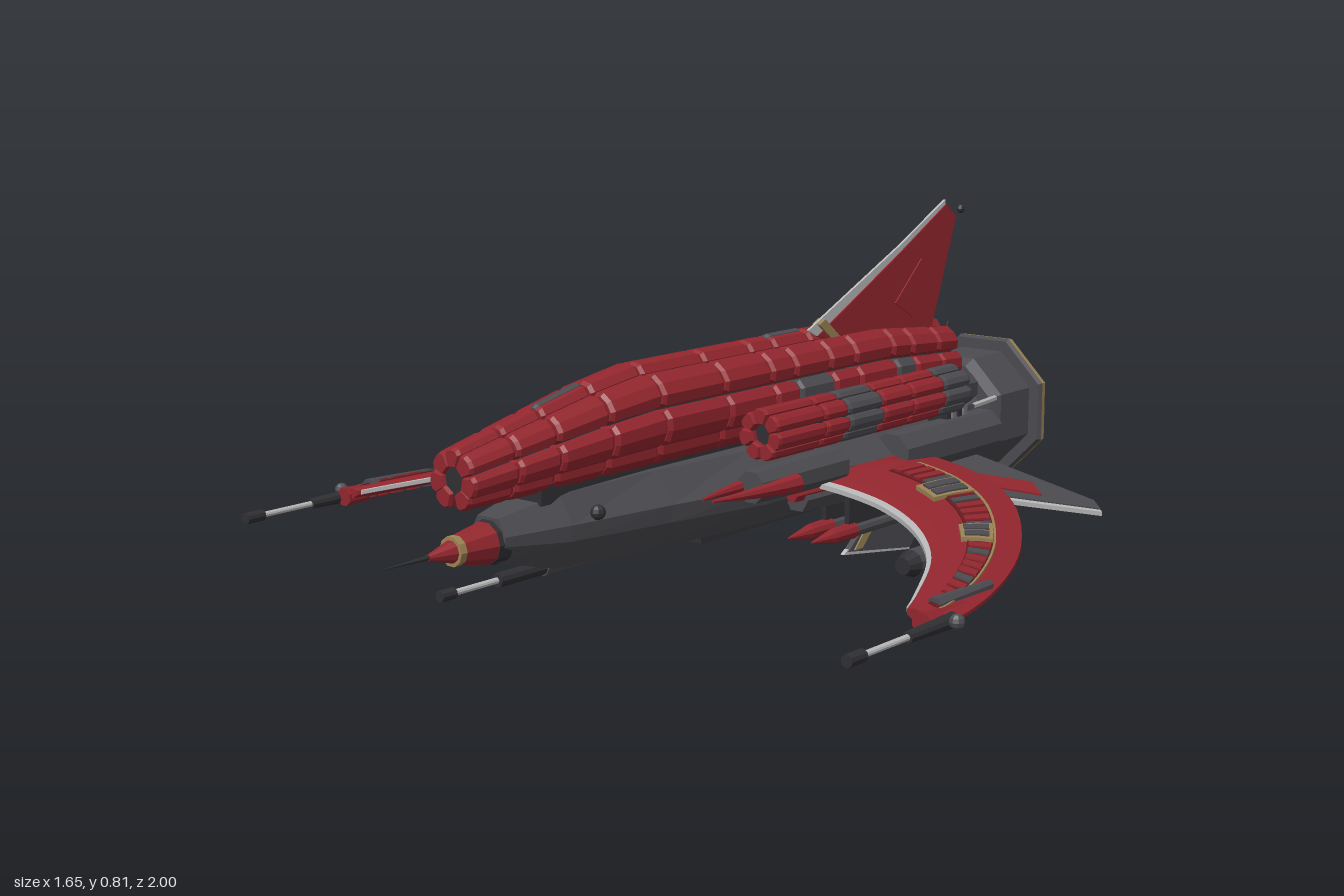
import * as THREE from 'three';

const mat = (c, side = THREE.FrontSide) => new THREE.MeshStandardMaterial({ color: c, flatShading: true, side });
const RED = mat(0x93262e), DEEP = mat(0x641a20), DARK = mat(0x4b4b50), BLACK = mat(0x303034), LIGHT = mat(0xb9b9b9);
const GREY = mat(0x77777b, THREE.DoubleSide), GOLD = mat(0x9c8354), TAN = mat(0xc9a580, THREE.DoubleSide), RUST = mat(0xa05f3c, THREE.DoubleSide);
const { lerp } = THREE.MathUtils;

const add = (parent, name, geo, material) => parent.add(Object.assign(new THREE.Mesh(geo, material), { name }));
const box = (parent, name, m, x, y, z, w, h, d) => add(parent, name, new THREE.BoxGeometry(w, h, d).translate(x, y, z), m);
const ball = (parent, name, m, x, y, z, r) => add(parent, name, new THREE.SphereGeometry(r, 8, 6).translate(x, y, z), m);
// Cylinder lying along z, back radius r0 at z0, front radius r1 at z1
function tube(parent, name, material, x, y, z0, z1, r0, r1 = r0, n = 10) {
  const g = new THREE.CylinderGeometry(r1, r0, z1 - z0, n, 1, false, Math.PI / n);
  add(parent, name, g.rotateX(Math.PI / 2).translate(x, y, (z0 + z1) / 2), material);
}
function rod(parent, name, material, a, b, r) {
  const path = new THREE.LineCurve3(new THREE.Vector3(...a), new THREE.Vector3(...b));
  add(parent, name, new THREE.TubeGeometry(path, 1, r, 6), material);
}
// Upright plate from [z, y] outline points
function plate(parent, name, material, pts, x, t) {
  const shape = new THREE.Shape(pts.map(([z, y]) => new THREE.Vector2(-z, y)));
  const g = new THREE.ExtrudeGeometry(shape, { depth: t, bevelEnabled: false });
  add(parent, name, g.translate(0, 0, -t / 2).rotateY(Math.PI / 2).translate(x, 0, 0), material);
}
// Move every vertex by a rule
function warp(geo, rule) {
  const p = geo.attributes.position, v = new THREE.Vector3();
  for (let i = 0; i < p.count; i++) {
    rule(v.fromBufferAttribute(p, i));
    p.setXYZ(i, v.x, v.y, v.z);
  }
  geo.computeVertexNormals();
  return geo;
}
// One bevelled armour petal: a ring sector of unit radius scaled along its length
function petal(parent, material, angle, half, z0, z1, radius, cx, cy) {
  const pts = [[0.5, -half], [0.9, -half], [1, -half * 0.6], [1.02, 0], [1, half * 0.6], [0.9, half], [0.5, half]];
  const shape = new THREE.Shape(pts.map(([r, a]) =>
    new THREE.Vector2(r * 0.95, 0).rotateAround(new THREE.Vector2(), (angle + a) * Math.PI / 180)));
  const g = new THREE.ExtrudeGeometry(shape, { depth: z1 - z0 - 0.02, bevelThickness: 0.008, bevelSize: 0.05, bevelSegments: 1 });
  g.translate(0, 0, z0 + 0.01);
  warp(g, v => { const r = radius(v.z); v.x = cx + v.x * r; v.y = cy(v.z) + v.y * r; });
  add(parent, 'armourPetal', g, material);
}

// Faceted hull lofted from eight-sided sections: [z, half width, bottom, top]
function hullGeometry() {
  const rows = [[0.74, 0.045, 0.25, 0.335], [0.6, 0.08, 0.213, 0.36], [0.35, 0.112, 0.2, 0.365], [0.1, 0.155, 0.195, 0.365],
    [-0.3, 0.175, 0.195, 0.365], [-0.55, 0.15, 0.2, 0.365], [-0.72, 0.09, 0.22, 0.37]];
  const ring = [[0.6, 1], [1, 0.62], [0.95, 0.4], [0.4, 0], [-0.4, 0], [-0.95, 0.4], [-1, 0.62], [-0.6, 1]];
  const pos = [], idx = [], n = ring.length, end = (rows.length - 1) * n;
  for (const [z, w, b, t] of rows) for (const [u, v] of ring) pos.push(u * w, lerp(b, t, v), z);
  for (let r = 0; r < end; r += n) for (let i = 0; i < n; i++) {
    const a = r + i, b = r + (i + 1) % n;
    idx.push(a, b, a + n, b, b + n, a + n);
  }
  for (let i = 1; i < n - 1; i++) idx.push(0, i + 1, i, end, end + i, end + i + 1);
  const g = new THREE.BufferGeometry();
  g.setAttribute('position', new THREE.Float32BufferAttribute(pos, 3)).setIndex(idx);
  g.computeVertexNormals();
  return g;
}

// Crescent wing: t runs root to tip, s runs from the outer arc to the inner arc
const arc = pts => new THREE.SplineCurve(pts.map(p => new THREE.Vector2(...p)));
const outer = arc([[0.13, -0.41], [0.23, -0.4], [0.38, -0.35], [0.525, -0.235], [0.665, -0.035], [0.75, 0.17], [0.79, 0.36], [0.77, 0.43]]);
const inner = arc([[0.13, -0.03], [0.23, -0.025], [0.35, 0], [0.46, 0.055], [0.55, 0.13], [0.62, 0.22], [0.69, 0.36], [0.72, 0.43]]);
function wingSlab(parent, name, material, t0, t1, s0, s1, lift, nt = 1, ns = 1) {
  add(parent, name, warp(new THREE.BoxGeometry(1, 1, 1, nt, 1, ns), v => {
    const t = lerp(t0, t1, v.x + 0.5), s = lerp(s0, s1, v.z + 0.5);
    const p = outer.getPoint(t).lerp(inner.getPoint(t), s);
    const thick = 0.034 * (1 - 0.3 * t) * (0.25 + 0.75 * Math.sin(Math.PI * Math.min(1, s)));
    v.set(p.x, 0.288 - 0.135 * p.x * p.x + v.y * thick + Math.sign(v.y) * lift, p.y);
  }), material);
}
function buildWing(g) {
  wingSlab(g, 'wing', RED, 0, 1, 0, 0.95, 0, 36, 8);
  wingSlab(g, 'wingEdgeTrim', LIGHT, 0.08, 0.97, 0.95, 1.01, 0.001, 36);
  wingSlab(g, 'wingGoldLine', GOLD, 0.16, 0.9, 0.26, 0.285, 0.004, 30);
  wingSlab(g, 'wingChannel', DEEP, 0.16, 0.9, 0.285, 0.56, 0.002, 30, 2);
  for (let i = 0; i < 24; i++)
    wingSlab(g, 'wingRib', i % 4 === 3 ? DARK : RED, 0.17 + i * 0.03, 0.189 + i * 0.03, 0.3, 0.54, 0.006);
  for (const [t, w, s] of [[0.285, 0.08, 0.66], [0.515, 0.065, 0.62]]) {
    wingSlab(g, 'panelFrame', GOLD, t, t + w, 0.29, s, 0.009, 2, 2);
    for (const a of [t + 0.01, t + 0.005 + w / 2])
      wingSlab(g, 'panelGrille', DARK, a, a + w / 2 - 0.014, 0.33, s - 0.04, 0.012, 1, 2);
  }
  // Wing-tip gun
  tube(g, 'gunHousing', RED, 0.758, 0.205, 0.31, 0.437, 0.016, 0.021, 8);
  tube(g, 'gunBreech', DARK, 0.745, 0.22, 0.2, 0.38, 0.01, 0.017, 8);
  tube(g, 'gunCollar', BLACK, 0.78, 0.2, 0.37, 0.51, 0.015, 0.011);
  tube(g, 'gunBarrel', LIGHT, 0.78, 0.2, 0.5, 0.65, 0.006);
  tube(g, 'gunMuzzle', BLACK, 0.78, 0.2, 0.64, 0.685, 0.012);
  ball(g, 'tipKnob', DARK, 0.808, 0.208, 0.4, 0.015);
  // Hanging pod
  tube(g, 'underwingPod', DARK, 0.44, 0.17, -0.25, 0.01, 0.028, 0.028, 12);
  tube(g, 'podNose', BLACK, 0.44, 0.17, 0.01, 0.04, 0.028, 0.018, 12);
  tube(g, 'podTail', BLACK, 0.44, 0.17, -0.29, -0.25, 0.016, 0.026, 12);
  tube(g, 'podBand', GOLD, 0.44, 0.17, -0.235, -0.22, 0.03, 0.03, 12);
  box(g, 'podPylon', DARK, 0.44, 0.22, -0.11, 0.012, 0.06, 0.14);
}
// Lower tail fin, four corners in x and z, sloping downwards
function finSlab(g, name, material, c, t) {
  add(g, name, warp(new THREE.BoxGeometry(1, 1, 1), v => {
    const mix = k => lerp(lerp(c[0][k], c[1][k], v.x + 0.5), lerp(c[3][k], c[2][k], v.x + 0.5), v.z + 0.5);
    const x = mix(0), z = mix(1);
    v.set(x, 0.272 - 0.4 * x + v.y * t, z);
  }), material);
}
function buildSide(g) {
  buildWing(g);
  finSlab(g, 'lowerTailFin', DARK, [[0.08, -0.68], [0.365, -0.83], [0.395, -0.81], [0.17, -0.43]], 0.016);
  finSlab(g, 'lowerFinTrim', LIGHT, [[0.17, -0.43], [0.395, -0.81], [0.402, -0.805], [0.185, -0.43]], 0.01);
  finSlab(g, 'lowerFinPanel', RED, [[0.19, -0.62], [0.26, -0.73], [0.305, -0.7], [0.23, -0.59]], 0.024);
  // Side booster: segmented petals around a dark core
  tube(g, 'boosterCore', BLACK, 0.18, 0.42, -0.54, 0.15, 0.034, 0.034, 12);
  const cuts = [0.17, 0.01, -0.07, -0.19, -0.3, -0.42, -0.52];
  for (let i = 0; i < cuts.length - 1; i++) for (let k = 0; k < 7; k++)
    petal(g, i === 2 || i === 5 ? DARK : RED, 90 + k * 360 / 7, 20, cuts[i + 1], cuts[i], () => 0.053, 0.18, () => 0.42);
  tube(g, 'boosterTail', DARK, 0.18, 0.415, -0.57, -0.51, 0.034, 0.046, 8);
  // Rear nacelle and hull fittings
  tube(g, 'rearNacelle', DARK, 0.168, 0.3, -0.67, -0.3, 0.05, 0.05, 8);
  tube(g, 'nacelleNozzle', TAN, 0.168, 0.295, -0.69, -0.67, 0.026, 0.022, 12);
  for (let i = 0; i < 4; i++) box(g, 'rearGrille', i % 2 ? GREY : BLACK, 0.14, 0.355, -0.52 - i * 0.022, 0.06, 0.035, 0.014);
  rod(g, 'engineStrut', LIGHT, [0.165, 0.36, -0.62], [0.12, 0.35, -0.79], 0.007);
  tube(g, 'wingRootFairing', RED, 0.17, 0.275, -0.4, 0.05, 0.035, 0.015, 6);
  tube(g, 'wingRootBlock', DARK, 0.16, 0.262, -0.4, 0.02, 0.045, 0.03, 6);
  // Pincer prongs in front of the wing root
  tube(g, 'prongMount', DARK, 0.168, 0.315, -0.1, 0.18, 0.04, 0.034, 8);
  for (const [x, bend] of [[0.135, 0.02], [0.205, -0.025]]) {
    const horn = new THREE.CylinderGeometry(0.003, 0.021, 0.23, 8, 6).rotateX(Math.PI / 2).translate(x, 0.312, 0.195);
    add(g, 'prong', warp(horn, v => { v.x += bend * ((v.z - 0.08) / 0.23) ** 2; }), RED);
  }
  // Missiles below the wing root
  for (const x of [0.14, 0.2]) {
    tube(g, 'missileBody', DARK, x, 0.175, -0.3, -0.12, 0.015);
    tube(g, 'missileMid', RED, x, 0.175, -0.12, -0.05, 0.018, 0.016);
    tube(g, 'missileTip', RED, x, 0.175, -0.05, 0.02, 0.016, 0.002);
    box(g, 'missileRail', BLACK, x, 0.215, -0.18, 0.012, 0.07, 0.16);
  }
  ball(g, 'sideKnob', BLACK, 0.09, 0.32, 0.54, 0.015);
}

export function createModel() {
  const root = new THREE.Group();
  root.name = 'starfighter';
  add(root, 'hull', hullGeometry(), DARK);
  box(root, 'bellyPanel', BLACK, 0, 0.195, -0.1, 0.11, 0.02, 0.6);
  // Nose cone, probe and gun
  for (const [name, m, y, ...size] of [
    ['noseCollar', BLACK, 0.288, 0.72, 0.75, 0.046, 0.042], ['noseCone', RED, 0.288, 0.75, 0.83, 0.041, 0.027],
    ['noseRing', GOLD, 0.288, 0.82, 0.835, 0.029], ['noseTip', RED, 0.288, 0.835, 0.89, 0.022, 0.006],
    ['noseProbe', BLACK, 0.288, 0.88, 1, 0.005, 0.001], ['noseGunBody', DARK, 0.21, 0.38, 0.6, 0.022, 0.017],
    ['noseGunCollar', BLACK, 0.21, 0.6, 0.72, 0.014], ['noseGunBarrel', LIGHT, 0.21, 0.72, 0.84, 0.006],
    ['noseGunMuzzle', BLACK, 0.21, 0.83, 0.865, 0.011]]) tube(root, name, m, 0, y, ...size);

  // Dorsal armour spine
  const r = z => z > 0.45 ? lerp(0.099, 0.058, (z - 0.45) / 0.38) : z > -0.4 ? 0.105 : lerp(0.105, 0.088, (-0.4 - z) / 0.31);
  const cy = z => 0.36 + r(z);
  const cuts = [0.83, 0.72, 0.62, 0.49, 0.35, 0.16, 0.01, -0.07, -0.19, -0.28, -0.42, -0.5, -0.61, -0.7];
  for (let i = 0; i < cuts.length - 1; i++) {
    const z0 = cuts[i + 1], z1 = cuts[i];
    for (const a of [90, 43, 137, -10, 190, -55, 235])
      petal(root, (a < 0 || a > 180) && (i === 7 || i === 10) ? DARK : RED, a, a === 90 ? 18 : 21, z0, z1, r, 0, cy);
    if ([2, 7, 10, 11, 12].includes(i)) petal(root, DARK, 90, 6, z0, z1, z => r(z) * 1.03, 0, cy);
    tube(root, 'armourCore', BLACK, 0, cy((z0 + z1) / 2), z0 + 0.005, z1 - 0.01, r(z0) * 0.66, r(z1) * 0.66, 12);
  }
  box(root, 'spineBed', BLACK, 0, 0.37, 0, 0.1, 0.05, 1.3);

  // Dorsal fin, set a little to the left
  plate(root, 'dorsalFin', RED, [[-0.2, 0.56], [-0.34, 0.63], [-0.5, 0.71], [-0.68, 0.805], [-0.72, 0.775], [-0.61, 0.48], [-0.4, 0.5]], 0.04, 0.012);
  plate(root, 'dorsalFinTrim', LIGHT, [[-0.17, 0.575], [-0.5, 0.725], [-0.68, 0.815], [-0.68, 0.803], [-0.5, 0.708], [-0.2, 0.56]], 0.04, 0.006);
  plate(root, 'dorsalFinPanel', RED, [[-0.48, 0.6], [-0.58, 0.69], [-0.62, 0.65], [-0.55, 0.56]], 0.04, 0.018);
  plate(root, 'dorsalFinStripe', GOLD, [[-0.2, 0.585], [-0.22, 0.595], [-0.3, 0.53], [-0.27, 0.53]], 0.04, 0.02);
  ball(root, 'finBeacon', BLACK, 0.045, 0.79, -0.74, 0.01);
  rod(root, 'aerial', BLACK, [0.03, 0.46, -0.69], [0.03, 0.53, -0.72], 0.003);
  // Ventral fin
  plate(root, 'ventralFin', DARK, [[-0.42, 0.23], [-0.53, 0.2], [-0.64, 0.12], [-0.66, 0.06], [-0.61, 0.008], [-0.37, 0.045], [-0.5, 0.15]], 0, 0.014);
  plate(root, 'ventralFinTrim', LIGHT, [[-0.355, 0.04], [-0.37, 0.05], [-0.62, 0.015], [-0.61, 0.003]], 0, 0.01);
  plate(root, 'ventralFinStripe', GOLD, [[-0.39, 0.045], [-0.42, 0.045], [-0.56, 0.18], [-0.53, 0.19]], 0, 0.02);

  // Main engine
  const ey = 0.302;
  for (const [name, m, ...size] of [
    ['engineNeck', DARK, -0.78, -0.64, 0.1, 0.075], ['engineShoulder', DARK, -0.79, -0.765, 0.145, 0.128],
    ['engineDrum', DARK, -0.915, -0.79, 0.145, 0.145], ['engineLip', DARK, -0.922, -0.912, 0.178, 0.172],
    ['engineFlange', GOLD, -0.937, -0.922, 0.176, 0.178], ['enginePlate', DARK, -0.943, -0.935, 0.152, 0.152]])
    tube(root, name, m, 0, ey, ...size, 8);
  for (const [name, m, n, pts] of [
    ['nozzleShell', GREY, 8, [[0.116, 0.94], [0.116, 0.962], [0.106, 0.968], [0.112, 1], [0.088, 1]]],
    ['nozzleBowl', TAN, 24, [[0.09, 1], [0.084, 0.985], [0.07, 0.955], [0.068, 0.95]]],
    ['nozzleCore', RUST, 24, [[0.07, 0.952], [0.05, 0.952], [0.048, 0.965], [0.038, 0.965], [0.036, 0.952], [0.02, 0.955], [0, 0.97]]]]) {
    const g = new THREE.LatheGeometry(pts.map(p => new THREE.Vector2(...p)), n, Math.PI / n);
    add(root, name, g.rotateX(-Math.PI / 2).translate(0, ey, 0), m);
  }

  // Mirrored halves
  const left = new THREE.Group();
  buildSide(left);
  const right = left.clone();
  right.scale.x = -1;
  left.name = 'leftSide';
  right.name = 'rightSide';
  return root.add(left, right);
}
